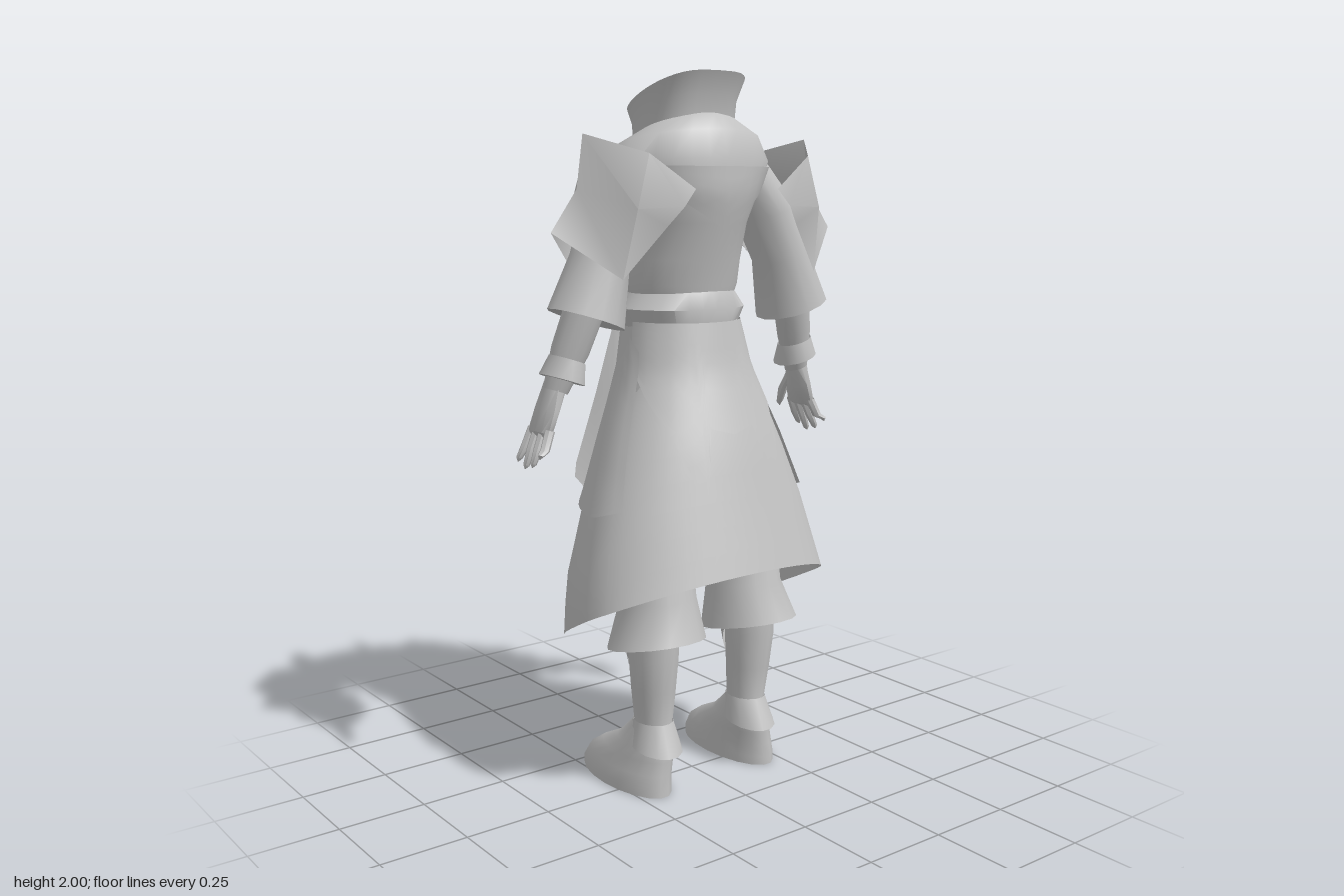
import * as THREE from 'three';
import { toCreasedNormals } from 'three/addons/utils/BufferGeometryUtils.js';

const grey = new THREE.MeshStandardMaterial({ color: 0xc2c2c2, side: THREE.DoubleSide });
grey.name = 'plain grey';
const V = (x, y, z) => new THREE.Vector3(x, y, z);
const { lerp } = THREE.MathUtils;

// Skin a grid of points (rows of equal length) into a creased, smooth mesh
function skin(name, rows) {
  const n = rows[0].length, index = [];
  for (let r = 0; r < rows.length - 1; r++) {
    for (let c = 0; c < n - 1; c++) {
      const a = r * n + c, b = a + n;
      index.push(a, b, a + 1, b, b + 1, a + 1);
    }
  }
  const geo = new THREE.BufferGeometry().setFromPoints(rows.flat());
  geo.setIndex(index);
  const mesh = new THREE.Mesh(toCreasedNormals(geo, 0.75), grey);
  mesh.name = name;
  return mesh;
}

// Tube of elliptical rings: rows are [x, y, z, radiusAcross, radiusDepth, slope]
function limb(name, rows, tilt = 0, sides = 14) {
  return skin(name, rows.map(([x, y, z, ru, rz, slope = 0]) => {
    const ring = [];
    for (let i = 0; i <= sides; i++) {
      const a = (i % sides) / sides * Math.PI * 2, u = ru * Math.cos(a), d = rz * Math.sin(a);
      ring.push(V(x + u * Math.cos(tilt), y + u * Math.sin(tilt) + slope * d, z + d));
    }
    return ring;
  }));
}

// Body surface from a table of [y, halfWidth, zMid, zBack, zEdge, wrapAngle]; t runs -1..1 round the back
const surface = (table) => (t, y, off = 0) => {
  let i = 0;
  while (i < table.length - 2 && y < table[i + 1][0]) i++;
  const p = table[i], q = table[i + 1];
  const f = THREE.MathUtils.clamp((y - p[0]) / (q[0] - p[0]), 0, 1);
  const [, w, zm, zb, ze, wrap] = p.map((v, k) => lerp(v, q[k], f));
  const a = t * wrap, c = Math.cos(a);
  const depth = c > 0 ? zb - zm : (zm - ze) / -Math.cos(wrap);
  return V((w + off) * Math.sin(a), y, zm + (depth + off) * c);
};

// Sheet lying on a surface; outline is [t, topY, bottomY]
function panel(name, surf, outline, off, steps = 4, rowCount = 8) {
  const cols = [];
  outline.forEach((p, i) => {
    const q = outline[i + 1];
    if (!q) return cols.push(p);
    for (let s = 0; s < steps; s++) cols.push(p.map((v, k) => lerp(v, q[k], s / steps)));
  });
  const rows = [];
  for (let r = 0; r <= rowCount; r++) {
    rows.push(cols.map(([t, top, low]) => surf(t, lerp(top, low, r / rowCount), off)));
  }
  return skin(name, rows);
}
const bothSides = (half) => [...half.slice(1).reverse().map(([t, a, b]) => [-t, a, b]), ...half];

const PI = Math.PI;
const torsoTable = [
  [1.88, 0.08, -0.03, 0.06, -0.11, PI], [1.86, 0.14, -0.02, 0.1, -0.14, PI],
  [1.82, 0.215, -0.02, 0.14, -0.165, PI], [1.76, 0.25, -0.02, 0.16, -0.195, PI],
  [1.68, 0.205, -0.02, 0.16, -0.215, PI], [1.6, 0.172, -0.03, 0.14, -0.222, PI],
  [1.5, 0.165, -0.04, 0.11, -0.218, PI], [1.43, 0.165, -0.05, 0.095, -0.207, PI],
  [1.39, 0.15, -0.05, 0.085, -0.2, PI],
];
const coatTable = [
  [1.33, 0.16, -0.04, 0.1, -0.2, 2.8], [1.2, 0.187, -0.02, 0.125, -0.2, 2.7],
  [1.0, 0.27, 0.01, 0.195, -0.2, 2.55], [0.82, 0.335, 0.03, 0.245, -0.2, 2.4],
  [0.6, 0.395, 0.05, 0.31, -0.2, 2.3], [0.42, 0.4, 0.05, 0.36, -0.2, 2.25],
];
const torso = surface(torsoTable), coat = surface(coatTable);

function buildTorso() {
  const g = new THREE.Group();
  g.name = 'upperBody';
  const ts = Array.from({ length: 29 }, (_, i) => i / 14 - 1);
  const rows = torsoTable.map(([y]) => ts.map((t) => {
    const p = torso(t, y);
    p.y += Math.max(0, y - 1.72) * 2 * p.z;
    return p;
  }));
  // inner wall of the open neck
  rows.unshift(rows[0].map((p) => V(p.x * 0.75, p.y - 0.07, -0.03 + (p.z + 0.03) * 0.8)));
  g.add(skin('jacket', rows));
  g.add(panel('backYoke', torso, [[-0.3, 1.75, 1.69], [0, 1.75, 1.58], [0.3, 1.75, 1.69]], 0.006, 5, 5));

  // flared belt
  const belt = surface([
    [1.415, 0.15, -0.05, 0.09, -0.205, PI], [1.365, 0.188, -0.05, 0.11, -0.218, PI],
    [1.3, 0.155, -0.05, 0.095, -0.205, PI]]);
  g.add(skin('belt', [1.415, 1.365, 1.3].map((y) => ts.map((t) => belt(t, y)))));

  // standing collar, open at the toe side
  const collarRow = (w, zm, zb, zf, y0, slope) => ts.map((t) => {
    const a = t * 2.55, s = Math.sin(a), c = Math.cos(a);
    const z = zm + c * (c > 0 ? zb : zf);
    return V(w * Math.sign(s) * Math.abs(s) ** 0.6, y0 + slope * z, z);
  });
  g.add(skin('collar', [
    collarRow(0.15, -0.02, 0.14, 0.163, 1.957, 0.36),
    collarRow(0.137, -0.025, 0.115, 0.145, 1.91, 0.34),
    collarRow(0.135, -0.03, 0.11, 0.13, 1.845, 0.33)]));
  return g;
}

function buildCoat() {
  const g = new THREE.Group();
  g.name = 'coatSkirt';
  // hem falls from the back towards the open edges
  const hem = (t) => {
    const c = Math.cos(t * 2.3);
    return 0.54 + 0.48 * (c > 0 ? 0.25 : 0.375) * c;
  };
  const outline = Array.from({ length: 33 }, (_, i) => i / 16 - 1).map((t) => [t, 1.33, hem(t)]);
  g.add(panel('skirt', coat, outline, 0, 1, 10));
  g.add(panel('backTabard', coat, bothSides([
    [0, 1.33, 1.03], [0.11, 1.33, 1.05], [0.15, 1.33, 0.86], [0.3, 1.33, 1.05], [0.58, 1.33, 1.22]]), 0.009));
  return g;
}

function buildSide() {
  const g = new THREE.Group();
  const tilt = 0.33;

  // coat overlays
  g.add(panel('sidePanel', coat, [[0.5, 1.25, 0.84], [0.7, 1.33, 0.81], [0.92, 1.33, 0.82]], 0.012));
  g.add(skin('hangingFlap', [
    [V(0.04, 1.34, -0.21), V(0.1, 1.34, -0.2), V(0.15, 1.34, -0.16)],
    [V(0.05, 1.1, -0.22), V(0.13, 1.1, -0.215), V(0.21, 1.12, -0.175)],
    [V(0.07, 0.84, -0.295), V(0.16, 0.86, -0.265), V(0.26, 0.92, -0.205)],
    [V(0.09, 0.715, -0.285), V(0.16, 0.79, -0.265), V(0.265, 0.88, -0.205)]]));

  // shoulder guard: ridge in the middle, two wings
  const wing = [
    [[0.14, 1.69, 0.2], [0.27, 1.78, 0.175], [0.38, 1.83, 0.035]],
    [[0.18, 1.645, 0.205], [0.31, 1.64, 0.18], [0.4, 1.69, 0.035]],
    [[0.22, 1.595, 0.185], [0.33, 1.46, 0.14], [0.48, 1.58, 0.035]]];
  g.add(skin('shoulderGuard', wing.map((row) => [
    ...row.map(([x, y, z]) => V(x, y, z)),
    ...row.slice(0, 2).reverse().map(([x, y, z]) => V(x, y, 0.035 - (z - 0.035) * 1.18))])));

  // arm
  g.add(limb('sleeve', [
    [0.19, 1.75, -0.01, 0.06, 0.08], [0.26, 1.63, 0, 0.085, 0.1], [0.315, 1.5, 0.01, 0.08, 0.09],
    [0.36, 1.35, 0.01, 0.106, 0.11], [0.362, 1.37, 0.01, 0.05, 0.052]], tilt));
  g.add(limb('forearm', [
    [0.355, 1.4, 0.01, 0.055, 0.056], [0.395, 1.27, -0.015, 0.052, 0.05], [0.428, 1.16, -0.04, 0.034, 0.036]], tilt));
  g.add(limb('wristCuff', [
    [0.402, 1.245, -0.02, 0.05, 0.052], [0.413, 1.19, -0.03, 0.062, 0.07], [0.415, 1.19, -0.03, 0.035, 0.035]], tilt));
  g.add(limb('palm', [
    [0.427, 1.18, -0.04, 0.03, 0.034], [0.447, 1.11, -0.052, 0.025, 0.052],
    [0.467, 1.05, -0.058, 0.019, 0.054], [0.472, 1.035, -0.058, 0.001, 0.04]], tilt, 10));
  [[-0.014, 0.99, 0.004], [-0.043, 0.962, -0.035], [-0.073, 0.953, -0.072], [-0.1, 0.968, -0.108]].forEach(([z, y, zt], i) => {
    g.add(limb('finger' + (i + 1), [
      [0.463, 1.06, z, 0.014, 0.014], [0.485, 1.01, (z + zt) / 2, 0.013, 0.013],
      [0.503, y + 0.01, zt, 0.009, 0.009], [0.507, y, zt, 0.001, 0.001]], tilt, 7));
  });
  g.add(limb('thumb', [
    [0.437, 1.14, -0.07, 0.02, 0.02], [0.435, 1.09, -0.105, 0.016, 0.017],
    [0.437, 1.045, -0.122, 0.011, 0.011], [0.44, 1.03, -0.126, 0.001, 0.001]], tilt, 7));

  // baggy trouser leg with folds and a bell hem
  g.add(limb('trouserLeg', [
    [0.075, 1.33, -0.04, 0.075, 0.12], [0.11, 1.14, -0.03, 0.105, 0.13], [0.12, 1.04, -0.03, 0.1, 0.115],
    [0.135, 0.98, -0.02, 0.12, 0.135], [0.14, 0.88, -0.01, 0.105, 0.115], [0.15, 0.82, 0, 0.12, 0.13],
    [0.152, 0.7, 0.025, 0.095, 0.105], [0.155, 0.64, 0.035, 0.1, 0.118], [0.155, 0.56, 0.045, 0.105, 0.115, 0.1],
    [0.168, 0.435, 0.055, 0.138, 0.145, 0.2], [0.17, 0.49, 0.05, 0.07, 0.08]], 0, 16));
  // pointed wrap over the shin
  const wrap = (r, drop) => Array.from({ length: 11 }, (_, i) => {
    const a = (i / 10 - 0.5) * PI;
    return V(0.172 + (r + 0.008) * Math.sin(a), 0.46 - drop * (1 - Math.abs(i - 5) / 5), 0.045 - (r + 0.022) * Math.cos(a));
  });
  g.add(skin('shinWrap', [wrap(0.075, 0), wrap(0.068, 0.09), wrap(0.058, 0.175)]));

  // boot
  g.add(limb('shin', [
    [0.173, 0.52, 0.05, 0.07, 0.082], [0.175, 0.4, 0.05, 0.069, 0.078], [0.173, 0.3, 0.046, 0.062, 0.069],
    [0.17, 0.2, 0.04, 0.051, 0.062], [0.17, 0.12, 0.04, 0.052, 0.07]]));
  g.add(limb('ankleCuff', [
    [0.17, 0.205, 0.04, 0.053, 0.066], [0.172, 0.13, 0.055, 0.07, 0.088, -0.15], [0.172, 0.135, 0.045, 0.05, 0.06]]));
  g.add(limb('shoe', [
    [0.172, 0.195, 0.035, 0.05, 0.064], [0.176, 0.135, 0.012, 0.064, 0.11], [0.18, 0.1, -0.025, 0.069, 0.146],
    [0.186, 0.06, -0.055, 0.076, 0.177], [0.19, 0.025, -0.065, 0.081, 0.189],
    [0.19, 0, -0.065, 0.081, 0.19], [0.19, 0, -0.065, 0.001, 0.001]], 0, 18));
  return g;
}

export function createModel() {
  const model = new THREE.Group();
  model.name = 'armouredCoatOutfit';
  const left = buildSide();
  left.name = 'leftSide';
  const right = left.clone();
  right.name = 'rightSide';
  right.scale.x = -1;
  model.add(buildTorso(), buildCoat(), left, right);
  return model;
}
